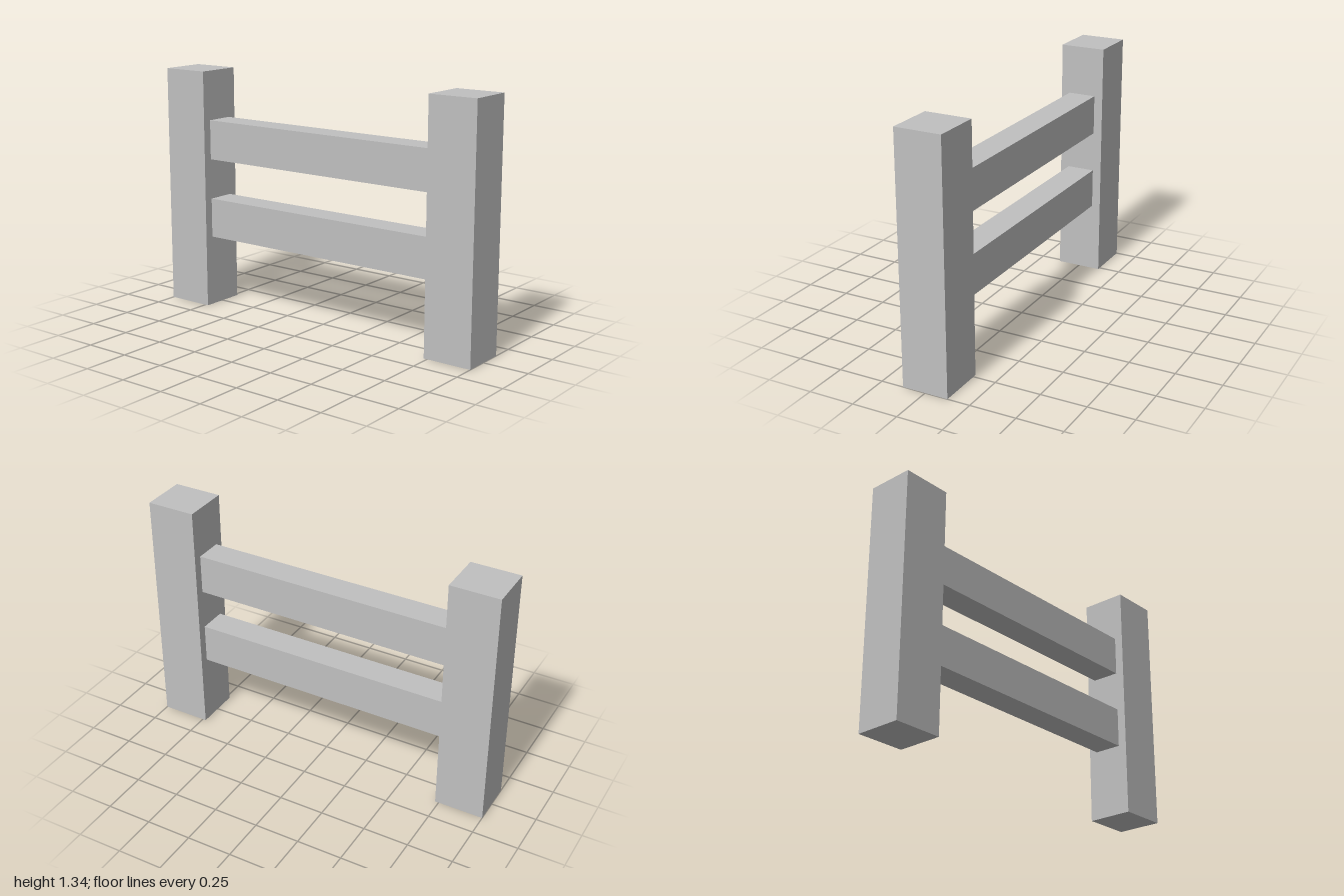
import * as THREE from 'three';

export function createModel() {
  const model = new THREE.Group();
  model.name = 'fence';

  const plainGrey = new THREE.MeshStandardMaterial({ color: 0xc0c0c0 });
  plainGrey.name = 'plain grey';

  const addBeam = (name, width, height, depth, x, bottom) => {
    const beam = new THREE.Mesh(new THREE.BoxGeometry(width, height, depth), plainGrey);
    beam.name = name;
    beam.position.set(x, bottom + height / 2, 0);
    model.add(beam);
  };

  // Square upright posts
  for (const [name, side] of [['leftPost', 1], ['rightPost', -1]]) {
    addBeam(name, 0.27, 1.335, 0.253, side * 0.865, 0);
  }

  // Horizontal rails between the inner faces of the posts
  for (const [name, bottom] of [['lowerRail', 0.395], ['upperRail', 0.84]]) {
    addBeam(name, 1.46, 0.22, 0.155, 0, bottom);
  }

  return model;
}
